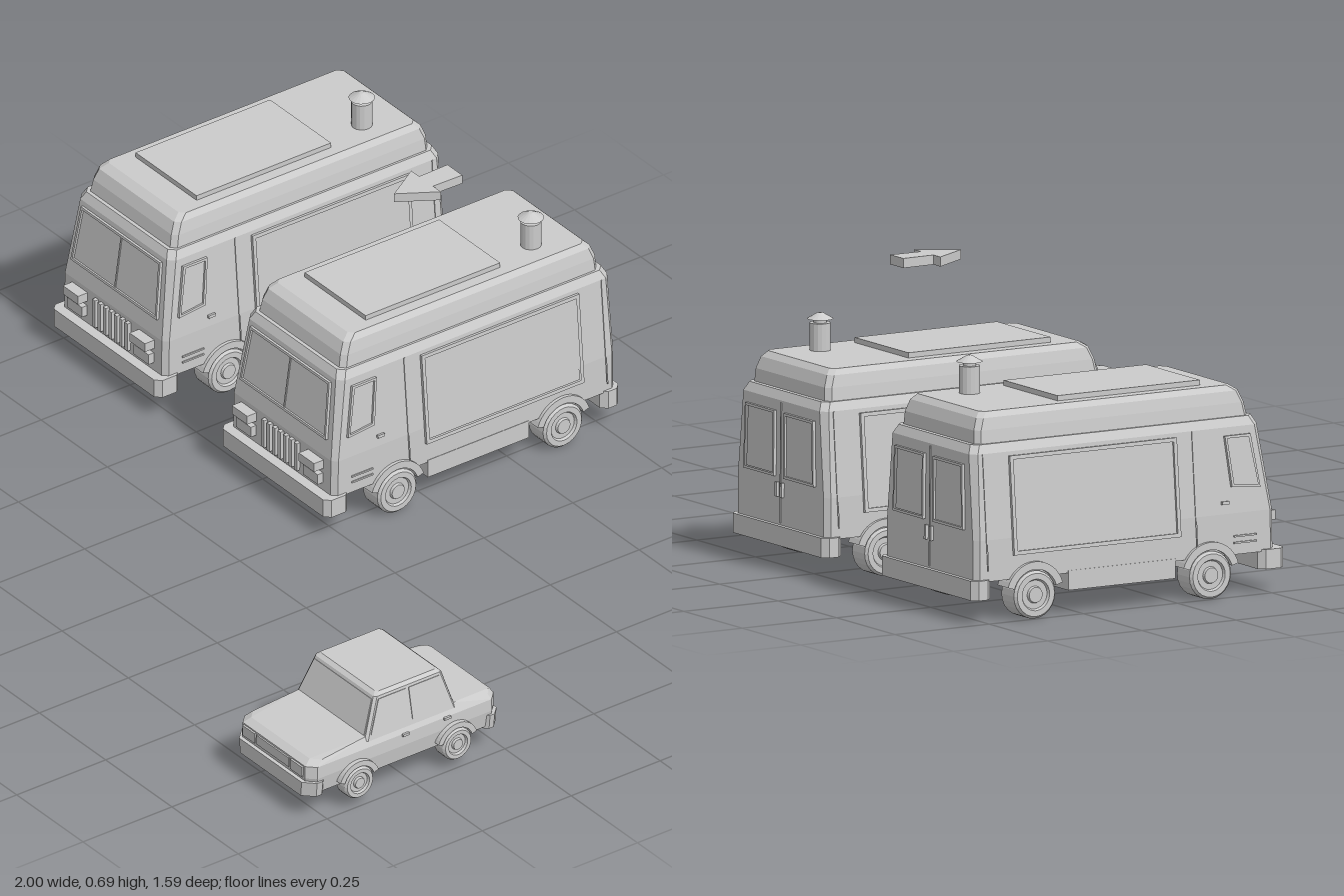
import * as THREE from 'three';
import { ConvexGeometry } from 'three/addons/geometries/ConvexGeometry.js';

const material = new THREE.MeshStandardMaterial({ color: 0xcccccc, flatShading: true });

function add(parent, name, geometry, x = 0, y = 0, z = 0) {
  const mesh = new THREE.Mesh(geometry, material);
  mesh.name = name;
  mesh.position.set(x, y, z);
  parent.add(mesh);
  return mesh;
}

function box(parent, name, w, h, d, x, y, z) {
  return add(parent, name, new THREE.BoxGeometry(w, h, d), x, y, z);
}

// Convex shell from level rings: [y, half width, front z, back z, corner cut]
function shell(rings, extra = []) {
  const points = extra.map((p) => new THREE.Vector3(...p));
  for (const [y, w, f, b, c] of rings) {
    for (const s of [-1, 1]) {
      for (const [x, z] of [[w, f - c], [w - c, f], [w, b + c], [w - c, b]]) {
        points.push(new THREE.Vector3(s * x, y, z));
      }
    }
  }
  return new ConvexGeometry(points);
}

function plate(points, depth, hole) {
  const shape = new THREE.Shape(points.map((p) => new THREE.Vector2(...p)));
  if (hole) shape.holes.push(new THREE.Path(hole.map((p) => new THREE.Vector2(...p))));
  return new THREE.ExtrudeGeometry(shape, { depth, bevelEnabled: false });
}

// Pane with a raised frame, lying on a wall group
function windowOn(wall, name, points, width = 0.006) {
  const cx = points.reduce((a, p) => a + p[0], 0) / points.length;
  const cy = points.reduce((a, p) => a + p[1], 0) / points.length;
  const inner = points.map(([x, y]) => [x + Math.sign(cx - x) * width, y + Math.sign(cy - y) * width]);
  add(wall, name + 'Frame', plate(points, 0.007, inner));
  add(wall, name + 'Pane', plate(inner, 0.002));
}

const rect = (x0, x1, y0, y1) => [[x0, y0], [x1, y0], [x1, y1], [x0, y1]];

// Group whose local xy plane lies on a leaning wall
function wallGroup(parent, name, turn, tilt, x, y, z) {
  const group = new THREE.Group();
  group.name = name;
  group.rotation.set(-tilt, turn, 0, 'YXZ');
  group.position.set(x, y, z);
  parent.add(group);
  return group;
}

// Tyre, rim, hub and arch on both sides of an axle
function axle(parent, z, y, r, outer, width, archR) {
  for (const s of [-1, 1]) {
    const wheel = new THREE.Group();
    wheel.name = 'wheel';
    wheel.position.set(s * outer, y, z);
    wheel.rotation.y = s * Math.PI / 2;
    parent.add(wheel);
    const profile = [[0, -width], [r * 0.9, -width], [r, -width + 0.006], [r, -0.006], [r * 0.9, 0],
      [r * 0.66, 0], [r * 0.6, -0.006], [r * 0.36, -0.006], [r * 0.32, 0], [0, 0]];
    const tyre = new THREE.LatheGeometry(profile.map((p) => new THREE.Vector2(...p)), 24);
    add(wheel, 'tyre', tyre.rotateX(Math.PI / 2));
    const arch = new THREE.Shape();
    arch.absarc(0, 0, archR, 0.3, Math.PI - 0.3, false);
    arch.absarc(0, 0, r * 1.06, Math.PI - 0.3, 0.3, true);
    add(wheel, 'wheelArch', new THREE.ExtrudeGeometry(arch, { depth: width * 0.7, bevelEnabled: false, curveSegments: 8 }),
      0, 0, -width * 0.7 - 0.002);
  }
}

function createTruck() {
  const truck = new THREE.Group();
  truck.name = 'foodTruck';
  add(truck, 'body', shell([
    [0.095, 0.195, 0.015, -0.78, 0.012], [0.19, 0.195, 0.013, -0.78, 0.012],
    [0.385, 0.178, -0.015, -0.778, 0.015], [0.405, 0.168, -0.025, -0.768, 0.015]]));
  add(truck, 'roof', shell([
    [0.4, 0.163, -0.033, -0.757, 0.012], [0.435, 0.159, -0.04, -0.755, 0.012],
    [0.462, 0.153, -0.052, -0.745, 0.012], [0.475, 0.143, -0.072, -0.732, 0.012]]));
  box(truck, 'roofPanel', 0.23, 0.014, 0.378, 0, 0.48, -0.324);

  // Chimney with a conical cap
  add(truck, 'chimney', new THREE.CylinderGeometry(0.024, 0.024, 0.07, 16), 0.078, 0.503, -0.627);
  add(truck, 'chimneyNeck', new THREE.CylinderGeometry(0.015, 0.015, 0.012, 16), 0.078, 0.543, -0.627);
  add(truck, 'chimneyCap', new THREE.CylinderGeometry(0.006, 0.03, 0.014, 16), 0.078, 0.554, -0.627);

  // Bumpers and sills
  add(truck, 'frontBumper', shell([[0.055, 0.203, 0.04, -0.028, 0.014], [0.1, 0.203, 0.04, -0.028, 0.014]]));
  add(truck, 'rearBumper', shell([[0.055, 0.203, -0.738, -0.79, 0.014], [0.1, 0.203, -0.738, -0.79, 0.014]]));
  box(truck, 'sill', 0.392, 0.045, 0.285, 0, 0.078, -0.392);
  axle(truck, -0.16, 0.055, 0.055, 0.205, 0.065, 0.076);
  axle(truck, -0.626, 0.055, 0.055, 0.205, 0.065, 0.076);

  // Side walls: serving hatch, cab window, door seam, handle and louvres
  for (const s of [-1, 1]) {
    const wall = wallGroup(truck, 'sideWall', s * Math.PI / 2, 0.087, s * 0.195, 0.19, 0);
    const at = (points) => points.map(([z, y]) => [-s * z, y - 0.19]);
    windowOn(wall, 'hatch', at(rect(-0.683, -0.24, 0.15, 0.376)), 0.009);
    windowOn(wall, 'cabWindow', at([[-0.025, 0.243], [-0.1, 0.25], [-0.113, 0.367], [-0.045, 0.367]]));
    add(wall, 'doorSeam', plate(at(rect(-0.197, -0.194, 0.12, 0.385)), 0.002));
    add(wall, 'rearSeam', plate(at(rect(-0.752, -0.749, 0.12, 0.385)), 0.002));
    add(wall, 'doorHandle', plate(at(rect(-0.127, -0.108, 0.212, 0.219)), 0.006));
    for (const y of [0.122, 0.137]) {
      box(truck, 'louvre', 0.006, 0.004, 0.06, s * 0.195, y, -0.065);
    }
  }

  // Windscreen, grille and lights
  const front = wallGroup(truck, 'frontWall', 0, 0.143, 0, 0.19, 0.013);
  windowOn(front, 'windscreen', [[-0.162, 0.045], [0.162, 0.045], [0.15, 0.185], [-0.15, 0.185]]);
  add(front, 'wiper', plate(rect(-0.002, 0.002, 0.05, 0.18), 0.004));
  for (let i = -3; i <= 3; i++) box(truck, 'grilleBar', 0.011, 0.072, 0.014, i * 0.0205, 0.145, 0.016);
  for (const s of [-1, 1]) {
    box(truck, 'headlight', 0.058, 0.022, 0.03, s * 0.126, 0.168, 0.025);
    box(truck, 'lowerLamp', 0.056, 0.026, 0.018, s * 0.126, 0.132, 0.02);
  }

  // Rear doors
  const rear = wallGroup(truck, 'rearWall', Math.PI, 0.01, 0, 0.19, -0.78);
  for (const s of [-1, 1]) {
    windowOn(rear, 'rearWindow', [[s * 0.02, 0.02], [s * 0.15, 0.02], [s * 0.145, 0.17], [s * 0.02, 0.17]]);
    add(rear, 'rearHandle', plate(rect(s * 0.011 - 0.004, s * 0.011 + 0.004, -0.025, 0.008), 0.007));
  }
  add(rear, 'rearSeam', plate(rect(-0.0015, 0.0015, -0.085, 0.19), 0.002));
  return truck;
}

function createCar() {
  const car = new THREE.Group();
  car.name = 'car';
  const deck = [];
  for (const s of [-1, 1]) deck.push([s * 0.126, 0.158, 0.622], [s * 0.126, 0.158, 0.378], [s * 0.115, 0.15, 0.27]);
  add(car, 'body', shell([
    [0.065, 0.133, 0.78, 0.262, 0.02], [0.105, 0.139, 0.788, 0.257, 0.02],
    [0.135, 0.138, 0.786, 0.257, 0.02], [0.146, 0.13, 0.768, 0.262, 0.02]], deck));
  add(car, 'cabin', shell([
    [0.148, 0.134, 0.627, 0.373, 0.006], [0.244, 0.115, 0.588, 0.4, 0.006], [0.251, 0.107, 0.578, 0.408, 0.006]]));
  add(car, 'frontBumper', shell([[0.06, 0.139, 0.796, 0.73, 0.025], [0.097, 0.143, 0.796, 0.73, 0.025]]));
  add(car, 'rearBumper', shell([[0.06, 0.139, 0.305, 0.252, 0.02], [0.097, 0.143, 0.305, 0.252, 0.02]]));
  axle(car, 0.657, 0.06, 0.04, 0.152, 0.042, 0.056);
  axle(car, 0.381, 0.06, 0.04, 0.152, 0.042, 0.056);

  // Side windows and door handles
  for (const s of [-1, 1]) {
    const wall = wallGroup(car, 'cabinSide', s * Math.PI / 2, 0.195, s * 0.1325, 0.155, 0);
    const at = (points) => points.map(([z, y]) => [-s * z, y]);
    add(wall, 'frontSideWindow', plate(at([[0.612, 0.006], [0.503, 0.006], [0.503, 0.084], [0.58, 0.084]]), 0.002));
    add(wall, 'rearSideWindow', plate(at([[0.495, 0.006], [0.387, 0.006], [0.408, 0.084], [0.495, 0.084]]), 0.002));
    for (const z of [0.52, 0.403]) box(car, 'doorHandle', 0.008, 0.006, 0.018, s * 0.139, 0.133, z);
    box(car, 'headlight', 0.045, 0.026, 0.012, s * 0.09, 0.119, 0.785);
    box(car, 'tailLight', 0.045, 0.024, 0.01, s * 0.09, 0.121, 0.258);
  }

  // Windscreen and rear window
  const glass = [[-0.122, 0.012], [0.122, 0.012], [0.108, 0.096], [-0.108, 0.096]];
  add(wallGroup(car, 'windscreen', 0, 0.386, 0, 0.148, 0.627), 'windscreenPane', plate(glass, 0.002));
  add(wallGroup(car, 'rearGlass', Math.PI, 0.274, 0, 0.148, 0.373), 'rearPane', plate(glass, 0.002));
  box(car, 'grille', 0.12, 0.024, 0.008, 0, 0.119, 0.786);
  return car;
}

export function createModel() {
  const model = new THREE.Group();
  model.name = 'streetVehicles';
  for (const x of [-0.795, -0.157]) {
    const truck = createTruck();
    truck.position.x = x;
    model.add(truck);
  }
  const car = createCar();
  car.position.x = 0.848;
  model.add(car);

  // Floating arrow pointing forward
  const arrow = plate([[-0.028, 0.476], [0.028, 0.476], [0.026, 0.395], [0.056, 0.395],
    [0, 0.305], [-0.056, 0.395], [-0.026, 0.395]], 0.022);
  add(model, 'arrow', arrow.rotateX(-Math.PI / 2), -0.163, 0.665, 0);
  return model;
}
